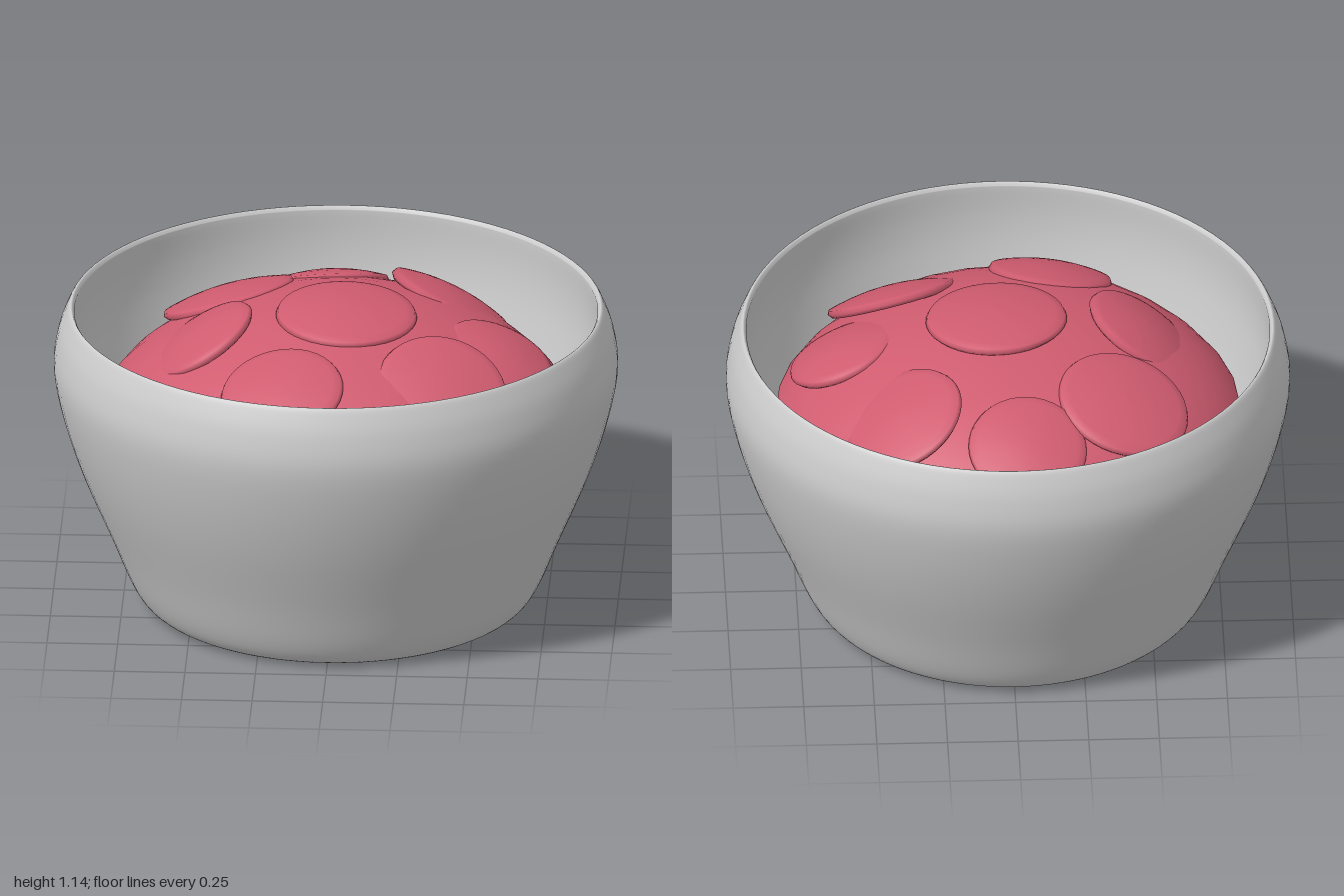
import * as THREE from 'three';

const ceramic = new THREE.MeshStandardMaterial({ color: 0xcccccc });
ceramic.name = 'ceramic grey';
const berry = new THREE.MeshStandardMaterial({ color: 0xd05c70 });
berry.name = 'berry red';

// Domed filling: part of an ellipsoid
const A = 0.88, B = 0.55, BASE = 0.56, EDGE = 0.82;
const domeHeight = (r) => BASE + B * Math.sqrt(1 - (r / A) ** 2);

const vectors = (list) => list.map(([x, y]) => new THREE.Vector2(x, y));

function lathe(name, points, segments, material) {
  const mesh = new THREE.Mesh(new THREE.LatheGeometry(points, segments), material);
  mesh.name = name;
  return mesh;
}

// Bowl: flat foot, swelling wall, rounded rim and hollow inside
function makeBowl() {
  const outer = new THREE.SplineCurve(vectors([
    [0.62, 0], [0.68, 0.02], [0.73, 0.09], [0.8, 0.26], [0.9, 0.5], [0.965, 0.7],
    [0.998, 0.87], [0.985, 0.99], [0.955, 1.075], [0.938, 1.1], [0.926, 1.085],
  ])).getPoints(50);
  const inner = new THREE.SplineCurve(vectors([
    [0.926, 1.08], [0.928, 0.96], [0.912, 0.82], [0.86, 0.6], [0.78, 0.4], [0.68, 0.2], [0.55, 0.1],
  ])).getPoints(24).slice(1);
  const points = [...vectors([[0, 0], [0.6, 0]]), ...outer, ...inner, new THREE.Vector2(0, 0.08)];
  return lathe('bowl', points, 96, ceramic);
}

// Filling: short skirt that meets the bowl wall, then the dome
function makeFilling() {
  const points = vectors([[EDGE, 0.42], [EDGE, 0.6]]);
  for (let i = 0; i <= 14; i++) {
    const r = EDGE * Math.cos((i / 14) * Math.PI / 2);
    points.push(new THREE.Vector2(i === 14 ? 0 : r, domeHeight(r)));
  }
  return lathe('filling', points, 32, berry);
}

// Slice: thin cupped disc lying on the dome, tilted so that one side lifts
function makeSlice([x, z, radius, liftX, liftZ]) {
  const cap = (r, top) => top - 0.035 * (r / radius) ** 2;
  const points = [0, 0.5, 0.8, 0.95].map((k) => new THREE.Vector2(k * radius, cap(k * radius, 0)));
  points.push(new THREE.Vector2(radius, -0.018));
  for (const k of [0.97, 0.85, 0.65, 0.4, 0.2, 0]) {
    points.push(new THREE.Vector2(k * radius, cap(k * radius, 0.03)));
  }
  const slice = lathe('slice', points, 40, berry);
  const y = domeHeight(Math.hypot(x, z));
  const normal = new THREE.Vector3(x / A ** 2, (y - BASE) / B ** 2, z / A ** 2).normalize();
  normal.x -= liftX;
  normal.z -= liftZ;
  slice.quaternion.setFromUnitVectors(new THREE.Vector3(0, 1, 0), normal.normalize());
  slice.position.set(x, y, z);
  return slice;
}

export function createModel() {
  const model = new THREE.Group();
  model.name = 'bowl of filling';
  model.add(makeBowl(), makeFilling());

  // x, z, radius, direction and amount of lift
  const slices = [
    [0.04, 0.06, 0.25, 0, -0.03],
    [-0.05, -0.58, 0.21, 0.02, -0.05],
    [-0.4, -0.35, 0.24, -0.05, -0.05],
    [-0.48, 0.1, 0.21, 0.2, 0.03],
    [-0.17, 0.52, 0.22, 0, 0.06],
    [0.4, 0.42, 0.235, 0.09, -0.14],
    [0.59, 0.07, 0.2, 0.12, -0.05],
    [0.39, -0.4, 0.225, -0.12, -0.1],
  ];
  const group = new THREE.Group();
  group.name = 'slices';
  slices.forEach((s) => group.add(makeSlice(s)));
  model.add(group);
  return model;
}
